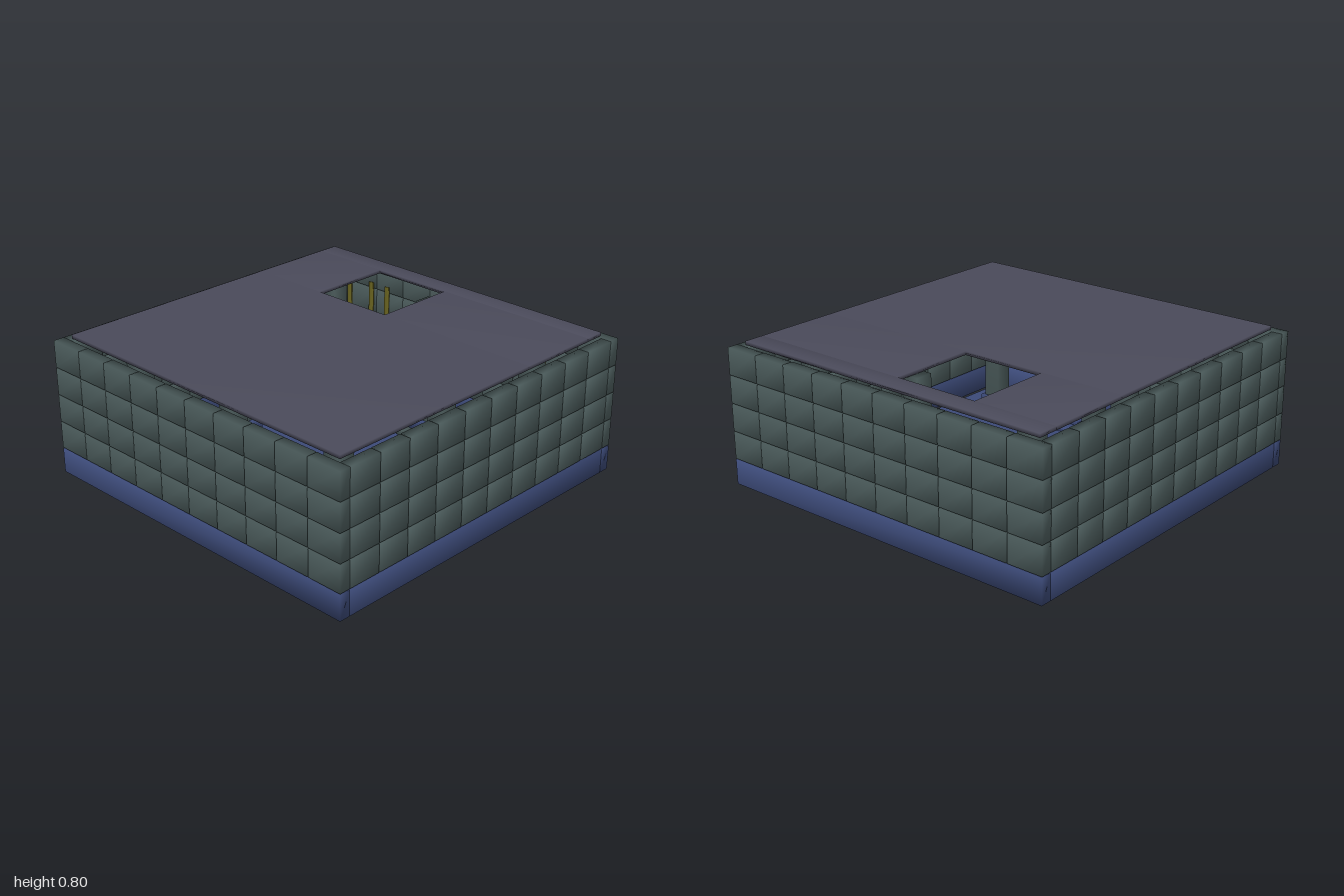
import * as THREE from 'three';
import { mergeVertices } from 'three/addons/utils/BufferGeometryUtils.js';

const stone = new THREE.MeshStandardMaterial({ color: 0x4a5a5a });
const slab = new THREE.MeshStandardMaterial({ color: 0x4a4a5a });
const blue = new THREE.MeshStandardMaterial({ color: 0x3c4a78 });
const ochre = new THREE.MeshStandardMaterial({ color: 0x6a6420 });

// Box with shared corners, so its shading rounds softly over the edges
function softBox(w, h, d) {
  const g = new THREE.BoxGeometry(w, h, d);
  g.deleteAttribute('normal');
  g.deleteAttribute('uv');
  const m = mergeVertices(g);
  m.computeVertexNormals();
  return m;
}

function group(parent, name) {
  const g = new THREE.Group();
  g.name = name;
  parent.add(g);
  return g;
}

// Box given by its low and high limits on each axis
function block(parent, name, mat, [x0, x1], [y0, y1], [z0, z1]) {
  const mesh = new THREE.Mesh(softBox(x1 - x0, y1 - y0, z1 - z0), mat);
  mesh.position.set((x0 + x1) / 2, (y0 + y1) / 2, (z0 + z1) / 2);
  mesh.name = name;
  parent.add(mesh);
  return mesh;
}

function createWall(parent, name, length) {
  const wall = group(parent, name);
  const half = length / 2, gap = 0.003, rows = 4, columns = 10;
  const w = length / columns, h = 0.151;
  block(wall, 'wallBase', blue, [-half, half], [0.03, 0.165], [-0.03, 0.03]);
  for (let r = 0; r < rows; r++) {
    for (let c = 0; c < columns; c++) {
      const x = -half + c * w, y = 0.168 + r * h;
      block(wall, 'brick', stone, [x + gap * (c > 0), x + w - gap * (c < columns - 1)],
        [y + gap, y + h - gap], [-0.03, 0.03]);
    }
  }
  return wall;
}

export function createModel() {
  const model = new THREE.Group();
  model.name = 'brickChamber';

  // Floor
  block(model, 'floor', blue, [-0.935, 0.935], [0, 0.024], [-0.935, 0.935]);

  // Walls: front and back run full width, the sides fit between them
  createWall(model, 'frontWall', 2).position.z = 0.97;
  const back = createWall(model, 'backWall', 2);
  back.position.z = -0.97;
  back.rotation.y = Math.PI;
  for (const s of [-1, 1]) {
    const side = createWall(model, s > 0 ? 'leftWall' : 'rightWall', 1.874);
    side.position.x = s * 0.97;
    side.rotation.y = s * Math.PI / 2;
  }

  // Ceiling slabs around the collapsed opening
  const ceiling = group(model, 'ceiling');
  const y = [0.78, 0.8];
  block(ceiling, 'ceilingFront', slab, [-0.935, 0.935], y, [-0.355, 0.935]);
  block(ceiling, 'ceilingBack', slab, [-0.935, 0.935], y, [-0.94, -0.83]);
  block(ceiling, 'ceilingRight', slab, [-0.935, -0.475], y, [-0.83, -0.355]);
  block(ceiling, 'ceilingLeft', slab, [0, 0.935], y, [-0.83, -0.355]);

  // Ring of pillars on square plinths
  for (const px of [-0.7, 0, 0.7]) {
    for (const pz of [-0.7, 0, 0.7]) {
      if (px === 0 && pz === 0) continue;
      const pillar = group(model, 'pillar');
      pillar.position.set(px, 0, pz);
      block(pillar, 'plinth', blue, [-0.065, 0.065], [0.024, 0.1], [-0.065, 0.065]);
      block(pillar, 'shaft', stone, [-0.048, 0.048], [0.1, 0.78], [-0.048, 0.048]);
    }
  }

  // Low steps against the front wall
  const steps = group(model, 'steps');
  for (let i = 0; i < 4; i++) {
    block(steps, 'step', blue, [0.12, 0.58], [0.024, 0.05 + i * 0.03], [0.62 + i * 0.08, 0.7 + i * 0.08]);
  }

  // Narrow hanging strips on the back wall
  for (const x of [-0.8, -0.63, -0.51, 0.6]) {
    block(model, 'hangingStrip', ochre, [x - 0.015, x + 0.015], [0.3, 0.66], [-0.935, -0.925]);
  }

  // Fallen bricks below the opening: x, z, size, turn, height
  const rubble = group(model, 'rubble');
  const fallen = [
    [-0.42, -0.76, 0.10, 0.6, 0.06], [-0.39, -0.60, 0.13, 0.5, 0.07],
    [-0.31, -0.69, 0.10, 0.2, 0.12], [-0.28, -0.74, 0.08, 1.1, 0.06],
    [-0.21, -0.69, 0.07, 0.1, 0.05], [-0.25, -0.63, 0.06, 0.3, 0.05],
    [-0.14, -0.57, 0.10, 0.05, 0.07], [-0.15, -0.52, 0.08, 0.5, 0.05],
    [-0.41, -0.51, 0.08, 0.9, 0.05], [-0.04, -0.56, 0.07, 1.3, 0.05],
    [-0.08, -0.67, 0.05, 0.2, 0.05], [-0.35, -0.66, 0.09, 1.0, 0.06],
  ];
  fallen.forEach(([x, z, s, turn, h], i) => {
    const brick = new THREE.Mesh(softBox(s, s * 0.6, s * 1.15), stone);
    brick.name = 'fallenBrick';
    brick.position.set(x, h, z);
    brick.rotation.set(0.25 * Math.sin(i * 2), turn, 0.25 * Math.cos(i * 3));
    rubble.add(brick);
  });

  return model;
}
